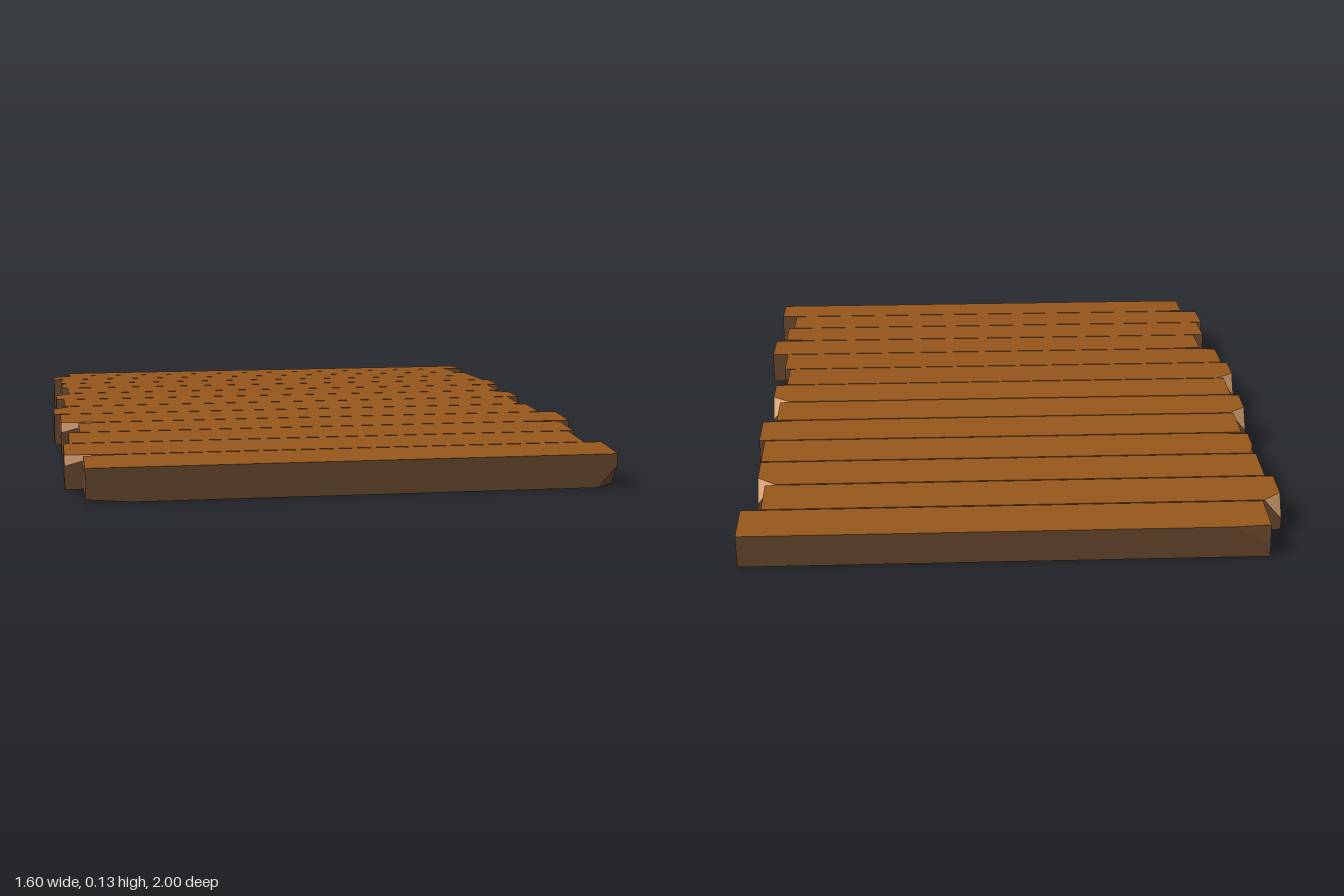
import * as THREE from 'three';
import { ConvexGeometry } from 'three/addons/geometries/ConvexGeometry.js';

const LENGTH = 1.53, HEIGHT = 0.1, DEPTH = 0.15, PITCH = 0.1538;
const BIG = [0.055, 0.065, 0.045]; // chipped corner: reach along x, y, z
const SLIVER = [0.11, 0.06, 0.008]; // shallow shave along the long edge
const SHAVE = [0.11, 0.03, 0.008]; // lower shave along the long edge
const NICK = [0.015, 0.06, 0.06]; // shallow shave on the end
const BROAD = 0, SIDE = 1, PALE = 2; // material slots

// Box with some corners cut off; each cut is [side x, side y, side z, reach, material slot]
function plankGeometry(cuts) {
  const points = [];
  for (const sx of [-1, 1]) for (const sy of [-1, 1]) for (const sz of [-1, 1]) {
    const corner = new THREE.Vector3(sx * LENGTH / 2, sy * HEIGHT / 2, sz * DEPTH / 2);
    const cut = cuts.find(c => c[0] === sx && c[1] === sy && c[2] === sz);
    if (!cut) { points.push(corner); continue; }
    const [dx, dy, dz] = cut[3];
    points.push(
      corner.clone().add(new THREE.Vector3(-sx * dx, 0, 0)),
      corner.clone().add(new THREE.Vector3(0, -sy * dy, 0)),
      corner.clone().add(new THREE.Vector3(0, 0, -sz * dz)));
  }
  const hull = new ConvexGeometry(points);
  const normal = new THREE.Vector3();
  const cutNormals = cuts.map(([sx, sy, sz, [dx, dy, dz]]) =>
    new THREE.Vector3(sx / dx, sy / dy, sz / dz).normalize());

  // Sort the triangles into one group per material
  const faces = [[], [], []];
  for (let i = 0; i < hull.attributes.position.count; i += 3) {
    normal.fromBufferAttribute(hull.attributes.normal, i);
    const k = cutNormals.findIndex(n => n.dot(normal) > 0.999);
    const slot = k >= 0 ? cuts[k][4] : Math.abs(normal.y) > 0.98 ? BROAD : SIDE;
    faces[slot].push(i, i + 1, i + 2);
  }
  hull.setIndex(faces.flat());
  let start = 0;
  faces.forEach((list, slot) => {
    hull.addGroup(start, list.length, slot);
    start += list.length;
  });
  return hull;
}

function material(name, color) {
  const m = new THREE.MeshStandardMaterial({ color });
  m.name = name;
  return m;
}

export function createModel() {
  const group = new THREE.Group();
  group.name = 'plankDeck';
  const materials = [
    material('brownWood', 0x97571c),
    material('darkSideWood', 0x6d4c30),
    material('paleCutWood', 0xdba373),
  ];

  // Chip patterns
  const kinds = {
    low: plankGeometry([[1, -1, 1, BIG, SIDE], [-1, 1, -1, SLIVER, SIDE],
      [-1, -1, 1, [0.13, 0.01, 0.05], SIDE]]),
    leftTop: plankGeometry([[-1, 1, -1, BIG, PALE], [1, -1, -1, SLIVER, SIDE]]),
    rightTop: plankGeometry([[1, 1, -1, BIG, PALE], [-1, -1, 1, SLIVER, SIDE]]),
    nicked: plankGeometry([[1, -1, -1, BIG, SIDE], [-1, 1, -1, NICK, PALE], [-1, 1, 1, SLIVER, SIDE]]),
    frontRight: plankGeometry([[-1, -1, 1, BIG, SIDE], [1, 1, 1, SLIVER, SIDE]]),
    frontLeft: plankGeometry([[1, -1, -1, BIG, SIDE], [-1, 1, 1, SHAVE, PALE]]),
    frontLeftPale: plankGeometry([[1, -1, -1, BIG, PALE], [-1, 1, 1, SHAVE, PALE]]),
    backRight: plankGeometry([[-1, -1, 1, BIG, SIDE], [1, 1, -1, SLIVER, SIDE]]),
  };

  // Planks from back to front: sideways shift and chip pattern
  const planks = [
    [0.035, 'low'], [-0.025, 'leftTop'], [0, 'rightTop'], [0, 'nicked'],
    [0.018, 'frontRight'], [-0.025, 'leftTop'], [0, 'rightTop'], [-0.037, 'leftTop'],
    [-0.018, 'frontLeft'], [0.035, 'low'], [0, 'backRight'], [-0.018, 'frontLeftPale'],
    [0.035, 'low'],
  ];
  planks.forEach(([x, kind], i) => {
    const z = (i - 6) * PITCH;
    const plank = new THREE.Mesh(kinds[kind], materials);
    plank.name = `plank${i + 1}`;
    plank.position.set(x, 0.085 - 0.034 * z * z, z); // gentle arch
    plank.rotation.x = Math.atan(0.068 * z);
    group.add(plank);
  });
  return group;
}
